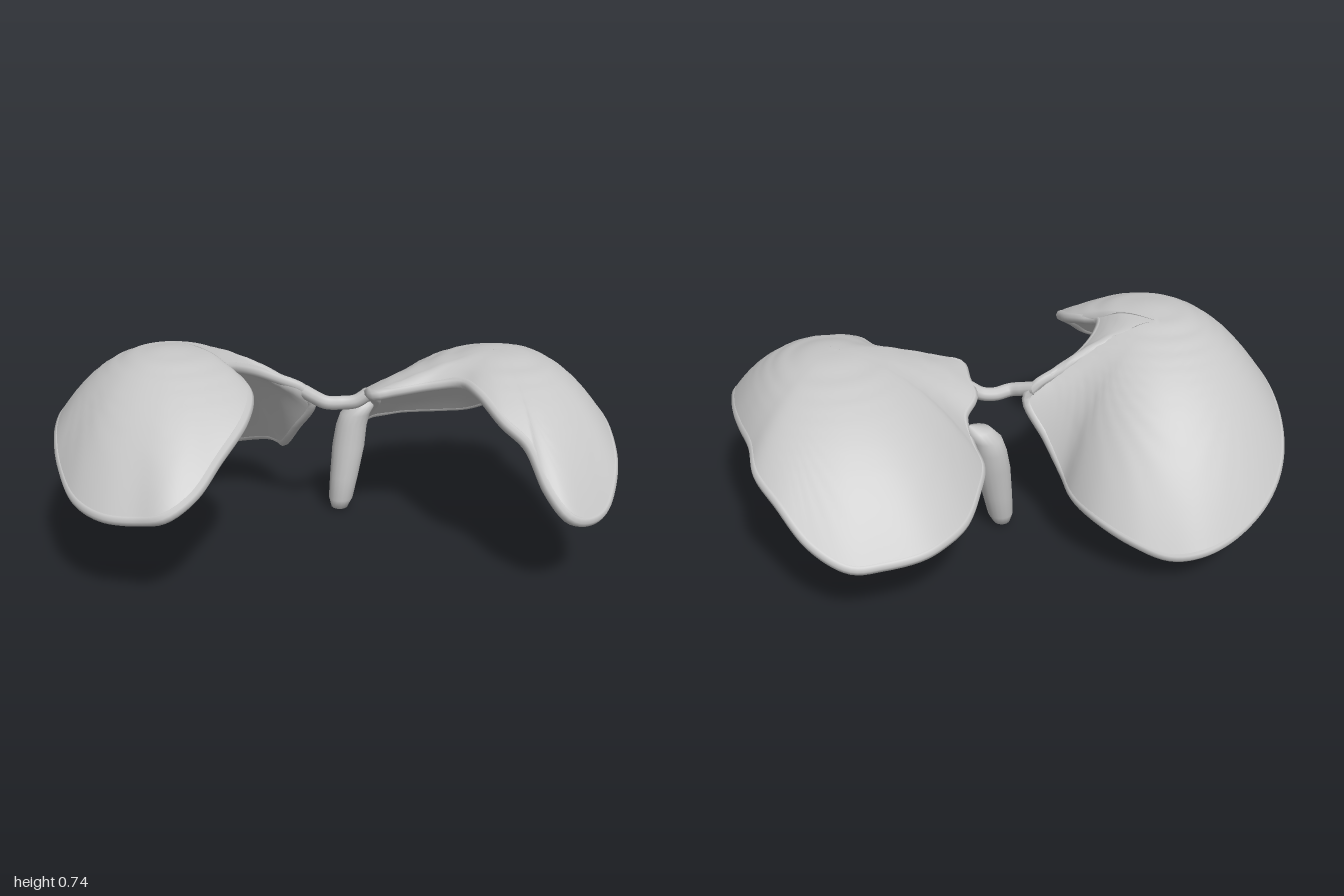
import * as THREE from 'three';
import { mergeVertices } from 'three/addons/utils/BufferGeometryUtils.js';

const grey = new THREE.MeshStandardMaterial({ color: 0xc6c6c6 });
grey.name = 'bone grey';

const SEGMENTS = 160, RINGS = 30, THICK = 0.018, RIM = 0.021;

function add(group, name, geometry) {
  const mesh = new THREE.Mesh(geometry, grey);
  mesh.name = name;
  group.add(mesh);
}

// closed smooth rim curve, set in so the rolled edge ends on the outline
function rimCurve(outline) {
  const n = outline.length;
  return new THREE.CatmullRomCurve3(outline.map(([x, z, y], i) => {
    const before = outline[(i + n - 1) % n], after = outline[(i + 1) % n];
    const tx = after[0] - before[0], tz = after[1] - before[1], d = Math.hypot(tx, tz);
    return new THREE.Vector3(x + tz / d * RIM, y, z - tx / d * RIM);
  }), true);
}

// a rounded cap, bent towards its edge to meet the rim, with faint terraces
function domeSurface(curve, hub, cap) {
  const rim = curve.getSpacedPoints(SEGMENTS).slice(0, SEGMENTS);
  const capY = (x, z) => cap.y - cap.bend * ((x - cap.x) ** 2 + (z - cap.z) ** 2);
  const gap = rim.map((p) => p.y - capY(p.x, p.z));
  const pos = [hub.x, capY(hub.x, hub.z), hub.z], index = [];
  for (let r = 1; r <= RINGS; r++) {
    const s = r / RINGS, reach = Math.round((1 - s) * 18);
    rim.forEach((p, i) => {
      let sum = 0;
      for (let k = -reach; k <= reach; k++) sum += gap[(i + k + SEGMENTS) % SEGMENTS];
      const x = hub.x + (p.x - hub.x) * s, z = hub.z + (p.z - hub.z) * s;
      const y = capY(x, z) + sum / (2 * reach + 1) * s ** 3;
      pos.push(x, y + 0.003 * (1 - s) * Math.sin(y * 200), z);
    });
  }
  const at = (r, i) => 1 + (r - 1) * SEGMENTS + i % SEGMENTS;
  for (let i = 0; i < SEGMENTS; i++) {
    index.push(0, at(1, i), at(1, i + 1));
    for (let r = 1; r < RINGS; r++) {
      const a = at(r, i), b = at(r, i + 1), c = at(r + 1, i), d = at(r + 1, i + 1);
      index.push(a, c, d, a, d, b);
    }
  }
  const g = new THREE.BufferGeometry();
  g.setAttribute('position', new THREE.Float32BufferAttribute(pos, 3));
  g.setIndex(index);
  g.computeVertexNormals();
  return g;
}

// moves a surface along its normals; the inner side is turned over
function offset(surface, amount) {
  const g = surface.clone(), p = g.attributes.position, n = g.attributes.normal;
  for (let i = 0; i < p.count; i++) {
    p.setXYZ(i, p.getX(i) + n.getX(i) * amount, p.getY(i) + n.getY(i) * amount, p.getZ(i) + n.getZ(i) * amount);
  }
  if (amount < 0) g.setIndex(Array.from(g.index.array).reverse());
  g.computeVertexNormals();
  return g;
}

function createLobe(name, outline, hub, cap) {
  const lobe = new THREE.Group();
  lobe.name = name;
  const curve = rimCurve(outline);
  const middle = domeSurface(curve, hub, cap);
  add(lobe, 'outerShell', offset(middle, THICK));
  add(lobe, 'innerShell', offset(middle, -THICK));
  add(lobe, 'rolledRim', new THREE.TubeGeometry(curve, 200, RIM, 8, true));
  return lobe;
}

// outlines as x, z, rim height, anticlockwise from above
const rightOutline = [
  [-0.10, -0.18, 0.35], [-0.14, -0.28, 0.25], [-0.15, -0.38, 0.22], [-0.20, -0.50, 0.20],
  [-0.30, -0.61, 0.16], [-0.42, -0.68, 0.125], [-0.53, -0.70, 0.135], [-0.66, -0.67, 0.165],
  [-0.80, -0.59, 0.225], [-0.90, -0.48, 0.29], [-0.96, -0.35, 0.36], [-0.99, -0.18, 0.43],
  [-0.99, 0.00, 0.47], [-0.98, 0.20, 0.455], [-0.95, 0.35, 0.40], [-0.88, 0.52, 0.345],
  [-0.78, 0.62, 0.325], [-0.66, 0.67, 0.33], [-0.57, 0.70, 0.35], [-0.47, 0.65, 0.40],
  [-0.39, 0.55, 0.48], [-0.30, 0.42, 0.57], [-0.28, 0.28, 0.62], [-0.32, 0.18, 0.65],
  [-0.37, 0.12, 0.665], [-0.34, 0.05, 0.65], [-0.26, -0.025, 0.61], [-0.17, -0.05, 0.565],
  [-0.09, -0.06, 0.525], [-0.04, -0.085, 0.475],
];
const leftOutline = [
  [0.42, -0.67, 0.25], [0.34, -0.63, 0.26], [0.25, -0.55, 0.275], [0.18, -0.42, 0.31],
  [0.14, -0.30, 0.34], [0.16, -0.24, 0.39], [0.17, -0.15, 0.46], [0.12, -0.08, 0.50],
  [0.13, 0.00, 0.53], [0.14, 0.11, 0.55], [0.22, 0.13, 0.565], [0.36, 0.14, 0.59],
  [0.45, 0.18, 0.61], [0.49, 0.28, 0.60], [0.55, 0.42, 0.54], [0.62, 0.48, 0.48],
  [0.67, 0.60, 0.36], [0.74, 0.66, 0.29], [0.82, 0.63, 0.265], [0.90, 0.56, 0.275],
  [0.97, 0.42, 0.37], [0.99, 0.25, 0.45], [0.99, 0.05, 0.48], [0.97, -0.10, 0.49],
  [0.94, -0.25, 0.49], [0.93, -0.38, 0.455], [0.87, -0.50, 0.405], [0.78, -0.62, 0.31],
  [0.66, -0.69, 0.25], [0.55, -0.69, 0.245],
];

// hanging strut: cross-sections as height, centre x, centre z, half widths
function strutGeometry() {
  const sections = [
    [0.00, 0.05, -0.155, 0.004, 0.004], [0.012, 0.052, -0.155, 0.032, 0.036], [0.05, 0.057, -0.157, 0.047, 0.052],
    [0.14, 0.07, -0.165, 0.055, 0.058], [0.26, 0.088, -0.18, 0.063, 0.060], [0.34, 0.10, -0.19, 0.060, 0.060],
    [0.39, 0.115, -0.19, 0.058, 0.056], [0.43, 0.145, -0.19, 0.050, 0.046], [0.45, 0.175, -0.19, 0.002, 0.002],
  ];
  let g = new THREE.CylinderGeometry(1, 1, 1, 18, sections.length - 1, true);
  g.deleteAttribute('uv');
  g.deleteAttribute('normal');
  g = mergeVertices(g);
  const p = g.attributes.position;
  for (let i = 0; i < p.count; i++) {
    const [y, x, z, rx, rz] = sections[Math.round((p.getY(i) + 0.5) * (sections.length - 1))];
    p.setXYZ(i, x + p.getX(i) * rx, y, z + p.getZ(i) * rz);
  }
  g.computeVertexNormals();
  return g;
}

export function createModel() {
  const model = new THREE.Group();
  model.name = 'twinDomes';
  model.add(createLobe('rightLobe', rightOutline, { x: -0.55, z: -0.05 }, { x: -0.58, y: 0.722, z: 0.08, bend: 0.9 }));
  model.add(createLobe('leftLobe', leftOutline, { x: 0.62, z: 0.02 }, { x: 0.63, y: 0.672, z: 0.02, bend: 0.7 }));
  add(model, 'strut', strutGeometry());

  // thin bridge joining the lobes
  const path = new THREE.CatmullRomCurve3([
    [-0.09, 0.515, -0.085], [-0.05, 0.50, -0.05], [-0.01, 0.488, -0.025], [0.05, 0.482, -0.035], [0.10, 0.488, -0.03], [0.15, 0.52, -0.025],
  ].map((p) => new THREE.Vector3(...p)));
  add(model, 'bridge', new THREE.TubeGeometry(path, 40, 0.026, 10));
  return model;
}
